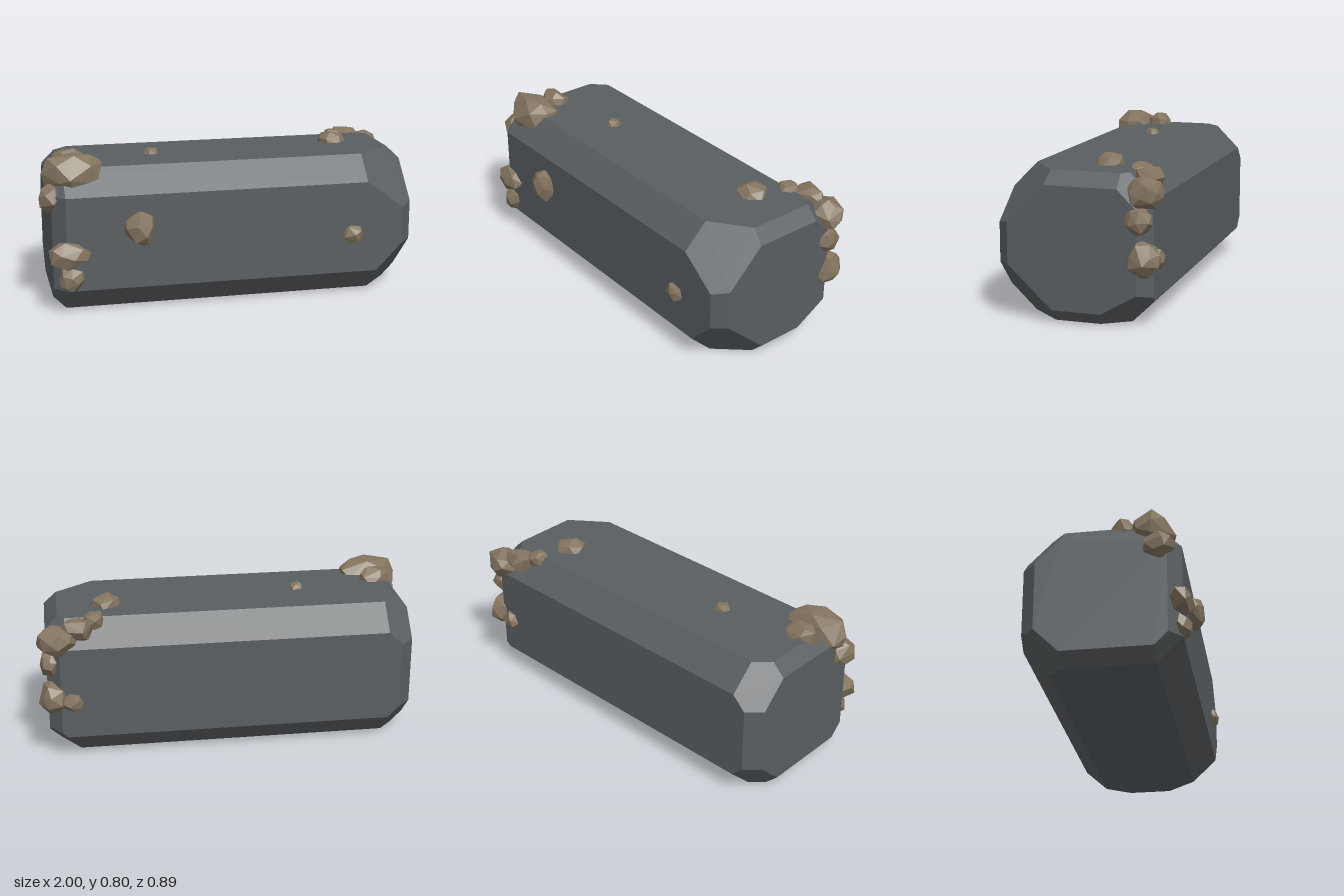
import * as THREE from 'three';
import { ConvexGeometry } from 'three/addons/geometries/ConvexGeometry.js';

// Corner points of the solid enclosed by planes [nx, ny, nz, d], where n.p <= d
function planeCorners(planes) {
  const points = [];
  const inside = (p) => planes.every(([a, b, c, d]) => a * p.x + b * p.y + c * p.z <= d + 1e-6);
  for (let i = 0; i < planes.length; i++)
    for (let j = i + 1; j < planes.length; j++)
      for (let k = j + 1; k < planes.length; k++) {
        const [A, B, C] = [planes[i], planes[j], planes[k]];
        const m = new THREE.Matrix3().set(A[0], A[1], A[2], B[0], B[1], B[2], C[0], C[1], C[2]);
        if (Math.abs(m.determinant()) < 1e-6) continue;
        const p = new THREE.Vector3(A[3], B[3], C[3]).applyMatrix3(m.invert());
        if (inside(p) && !points.some((q) => q.distanceTo(p) < 0.002)) points.push(p);
      }
  return points;
}

function seeded(seed) {
  let s = seed * 7919 + 17;
  return () => (s = (s * 16807) % 2147483647) / 2147483647;
}

// Faceted pebble: hull of jittered points on a sphere, fitted to its size
function pebble(seed, size, count) {
  const rand = seeded(seed);
  for (let i = 0; i < 5; i++) rand();
  const points = [];
  for (let i = 0; i < count; i++) {
    const y = 1 - (2 * (i + 0.5)) / count;
    const a = i * 2.4 + rand() * 0.7;
    const r = Math.sqrt(1 - y * y);
    points.push(new THREE.Vector3(Math.cos(a) * r, y, Math.sin(a) * r).multiplyScalar(0.88 + rand() * 0.2));
  }
  const turn = new THREE.Euler(rand() * 6, rand() * 6, rand() * 6);
  points.forEach((p) => p.applyEuler(turn));
  const geometry = new ConvexGeometry(points);
  geometry.center();
  const box = geometry.boundingBox.getSize(new THREE.Vector3());
  geometry.scale((2 * size[0]) / box.x, (2 * size[1]) / box.y, (2 * size[2]) / box.z);
  geometry.computeVertexNormals();
  return geometry;
}

export function createModel() {
  const model = new THREE.Group();
  const slate = new THREE.MeshStandardMaterial({ color: 0x595e61 });
  slate.name = 'slate grey';
  const stone = new THREE.MeshStandardMaterial({ color: 0x83745f });
  stone.name = 'brown stone';

  // Long block with bevelled edges and chipped corners
  const block = new THREE.Mesh(new ConvexGeometry(planeCorners([
    // Main faces
    [1, 0, 0, 0.95], [-1, 0, 0, 0.94], [0, 1, 0, 0.735],
    [0, -1, 0, 0], [0, 0, 1, 0.375], [0, 0, -1, 0.4],
    // Long bevels
    [0, 1, 1, 0.985], [0, 1, -1, 1.01], [0, -1, 1, 0.247], [0, -1, -1, 0.27],
    // End bevels
    [1, 0, 1, 1.26], [1, 0, -1, 1.285], [1, 1, 0, 1.62], [1, -1, 0, 0.885],
    [-1, 0, 1, 1.25], [-1, 0, -1, 1.27], [-1, 1, 0, 1.61], [-1, -1, 0, 0.875],
    // Corner chips
    [0.75, 1, 1, 1.505], [1, -0.957, 0.892, 0.964], [1, -1.2, -0.7, 0.983], [1, 1, -1, 1.861],
    [-1, 1, -1, 1.81], [-1, 1, 1, 1.86], [-1, -1, 1, 1.12], [-1, -1, -1, 1.08],
  ])), slate);
  block.name = 'block';
  model.add(block);

  // Pebbles stuck to the block: centre, half size, point count
  const pebbles = [
    // Front right end cluster
    [[-0.82, 0.695, 0.235], [0.16, 0.108, 0.112], 24],
    [[-0.945, 0.595, 0.27], [0.055, 0.075, 0.075], 18],
    [[-0.83, 0.73, 0.08], [0.08, 0.07, 0.07], 20],
    [[-0.86, 0.31, 0.36], [0.105, 0.075, 0.07], 20],
    [[-0.855, 0.185, 0.365], [0.062, 0.062, 0.052], 18],
    // Single pebbles on the top and front
    [[-0.385, 0.73, -0.005], [0.04, 0.035, 0.04], 16],
    [[0.64, 0.73, -0.105], [0.08, 0.058, 0.08], 20],
    [[-0.51, 0.44, 0.375], [0.082, 0.09, 0.068], 20],
    [[0.62, 0.335, 0.37], [0.055, 0.052, 0.042], 16],
    // Back left end cluster
    [[0.705, 0.715, -0.28], [0.066, 0.046, 0.064], 18],
    [[0.8, 0.695, -0.35], [0.085, 0.062, 0.07], 18],
    [[0.89, 0.648, -0.36], [0.105, 0.085, 0.087], 24],
    [[0.93, 0.52, -0.34], [0.053, 0.07, 0.068], 20],
    [[0.925, 0.345, -0.36], [0.073, 0.092, 0.085], 22],
    [[0.825, 0.325, -0.395], [0.055, 0.052, 0.04], 16],
  ];
  pebbles.forEach(([centre, size, count], i) => {
    const mesh = new THREE.Mesh(pebble(i + 3, size, count), stone);
    mesh.name = `pebble${i + 1}`;
    mesh.position.set(...centre);
    model.add(mesh);
  });

  return model;
}
